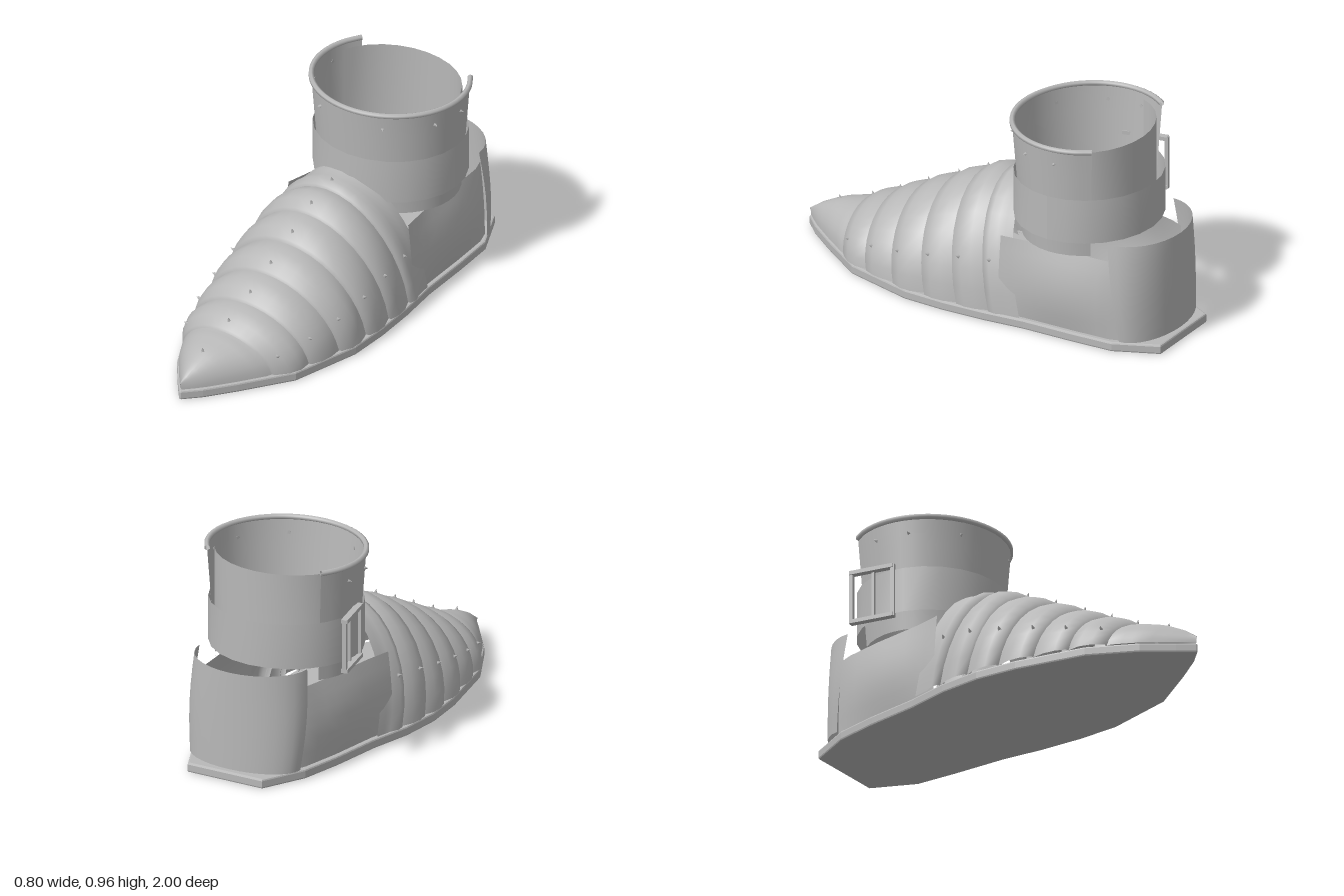
import * as THREE from 'three';

// Plan outline of the shoe: z, right-hand x, left-hand x
const PLAN = [
  [1, -0.06, -0.05], [0.93, -0.115, 0.02], [0.8, -0.21, 0.12], [0.58, -0.32, 0.275], [0.25, -0.385, 0.365],
  [0.05, -0.4, 0.373], [-0.15, -0.38, 0.365], [-0.35, -0.33, 0.345], [-0.6, -0.29, 0.34],
  [-0.8, -0.245, 0.33], [-1, -0.14, 0.24],
];
// Ridge height along the foot: z, y
const RIDGE = [[1, 0.08], [0.93, 0.13], [0.84, 0.175], [0.7, 0.21], [0.55, 0.285], [0.27, 0.43], [0, 0.56], [-0.2, 0.6]];

function sample(rows, z, col) {
  if (z >= rows[0][0]) return rows[0][col];
  for (let i = 1; i < rows.length; i++) {
    const a = rows[i - 1], b = rows[i];
    if (z >= b[0]) return a[col] + (b[col] - a[col]) * (a[0] - z) / (a[0] - b[0]);
  }
  return rows[rows.length - 1][col];
}

// Smooth sheet from a rule (u, v) -> [x, y, z]
function sheet(fn, nu, nv) {
  const pos = [], idx = [];
  for (let j = 0; j <= nv; j++) for (let i = 0; i <= nu; i++) pos.push(...fn(i / nu, j / nv));
  for (let j = 0; j < nv; j++) for (let i = 0; i < nu; i++) {
    const a = j * (nu + 1) + i, b = a + 1, c = a + nu + 1, d = c + 1;
    idx.push(a, b, d, a, d, c);
  }
  const g = new THREE.BufferGeometry();
  g.setAttribute('position', new THREE.Float32BufferAttribute(pos, 3));
  g.setIndex(idx);
  g.computeVertexNormals();
  return g;
}

// Point on the arched upper at ridge station z, arch angle t and offset o
function archPoint(z, t, o) {
  const s = Math.sin(t), h = sample(RIDGE, z, 1) - 0.05;
  const zz = z - 0.22 * h * (1 - s);
  const l = sample(PLAN, zz, 1), r = sample(PLAN, zz, 2);
  return [(l + r) / 2 + ((r - l) / 2 - 0.008 + o) * Math.cos(t), 0.05 + (h + o) * s, zz];
}

// Point on the ankle ring; angle 0 = +x, PI/2 = front
const ankle = (a, rx, rz, y) => [0.03 + rx * Math.cos(a), y, -0.5 + rz * Math.sin(a)];

export function createModel() {
  const group = new THREE.Group();
  const steel = new THREE.MeshStandardMaterial({ color: 0xb8b8b8, side: THREE.DoubleSide });
  steel.name = 'steel grey';
  const add = (name, geo, parent = group) => {
    const m = new THREE.Mesh(geo, steel);
    m.name = name;
    parent.add(m);
    return m;
  };

  // Flat sole
  const outline = [...PLAN.map(p => [p[1], p[0]]), ...PLAN.slice().reverse().map(p => [p[2], p[0]])];
  const shape = new THREE.Shape(outline.map(([x, z]) => new THREE.Vector2(x, -z)));
  const sole = new THREE.ExtrudeGeometry(shape, {
    depth: 0.029, bevelEnabled: true, bevelThickness: 0.008, bevelSize: 0.008, bevelOffset: -0.008, bevelSegments: 2,
  });
  sole.rotateX(-Math.PI / 2).translate(0, 0.008, 0);
  add('sole', sole);

  // Pointed toe cap
  add('toeCap', sheet((u, v) => archPoint(1 - 0.35 * v, Math.PI * u, v > 0.85 ? -0.012 : 0), 16, 10));

  // Overlapping arched foot plates with turned-in edges
  const profile = [[0, -0.03], [0.03, 0.006], [0.25, 0.016], [0.5, 0.012], [0.75, -0.006], [1, -0.03]];
  const plates = new THREE.Group();
  plates.name = 'footPlates';
  group.add(plates);
  const starts = [0.7, 0.55, 0.4, 0.24, 0.09, -0.06];
  starts.forEach((z0, k) => {
    const len = k === 5 ? 0.15 : 0.2;
    add('footPlate', sheet((u, v) => {
      const [s, o] = profile[Math.round(v * 5)];
      const off = k === 5 && s > 0.3 ? 0.006 : o;
      return archPoint(z0 - len * s, Math.PI * u, off);
    }, 18, 5), plates);
  });

  // Side panels beside the heel
  for (const col of [1, 2]) {
    const sgn = col === 1 ? -1 : 1;
    add('heelSidePanel', sheet((u, v) => {
      const z = -0.22 - 0.62 * u;
      const bulge = 0.025 * Math.sin(Math.PI * v) * Math.sin(Math.PI * u);
      return [sample(PLAN, z, col) + sgn * (bulge - 0.015 - 0.025 * v * v), 0.05 + 0.365 * v, z];
    }, 10, 6));
  }

  // Rounded heel cup
  add('heelCup', sheet((u, v) => {
    const t = Math.PI * u, b = 0.015 * Math.sin(Math.PI * v);
    return [0.04 + (0.275 + b) * Math.cos(t), 0.05 + 0.46 * v, -0.83 + 0.06 * v - (0.15 + 0.06 * v) * Math.sin(t)];
  }, 16, 6));

  // Front ankle shell, open at the back
  const a0 = -0.62, a1 = Math.PI + 0.62;
  add('ankleShell', sheet((u, v) => {
    const a = a0 + (a1 - a0) * u;
    return ankle(a, 0.322 + 0.036 * v, 0.29 + 0.045 * v, 0.42 + 0.52 * v);
  }, 26, 4));

  // Rear ankle plate
  add('rearAnklePlate', sheet((u, v) =>
    ankle(Math.PI + 0.3 + (Math.PI - 0.6) * u, 0.33, 0.28, 0.49 + 0.435 * v), 12, 1));

  // Rolled rim along the top of the shell
  const rimPts = [];
  for (let i = 0; i <= 20; i++) rimPts.push(new THREE.Vector3(...ankle(a0 + (a1 - a0) * i / 20, 0.358, 0.333, 0.943)));
  add('rim', new THREE.TubeGeometry(new THREE.CatmullRomCurve3(rimPts), 40, 0.013, 6, false));

  // Strap around the ankle
  add('strap', sheet((u, v) => ankle(-2 * Math.PI * u, 0.351, 0.328, 0.495 + 0.21 * v), 24, 1));

  // Buckle on the right-hand side
  const buckle = new THREE.Group();
  buckle.name = 'buckle';
  buckle.position.set(-0.34, 0.605, -0.56);
  buckle.rotation.y = 0.2;
  group.add(buckle);
  for (const s of [-1, 1]) {
    add('buckleSide', new THREE.BoxGeometry(0.018, 0.25, 0.018), buckle).position.z = s * 0.1;
    add('buckleBar', new THREE.BoxGeometry(0.03, 0.018, 0.21), buckle).position.y = s * 0.118;
  }
  add('bucklePin', new THREE.BoxGeometry(0.014, 0.22, 0.014), buckle).position.x = 0.012;

  // Small pointed rivets
  const rivet = (p, n) => {
    const m = add('rivet', new THREE.ConeGeometry(0.01, 0.02, 4));
    m.position.set(...p);
    m.quaternion.setFromUnitVectors(new THREE.Vector3(0, 1, 0), n.normalize());
  };
  for (const z0 of [0.88, ...starts]) for (const t of [0.45, Math.PI / 2, Math.PI - 0.45]) {
    if (z0 > 0.8 && t !== Math.PI / 2) continue;
    rivet(archPoint(z0 - 0.04, t, z0 > 0.8 ? 0.006 : 0.022), new THREE.Vector3(Math.cos(t), Math.sin(t), 0.3));
  }
  for (const a of [-0.1, 0.4, 1.1, 2.1, 2.8, 3.3]) {
    rivet(ankle(a, 0.36, 0.335, 0.87), new THREE.Vector3(Math.cos(a), 0, Math.sin(a)));
  }
  return group;
}
